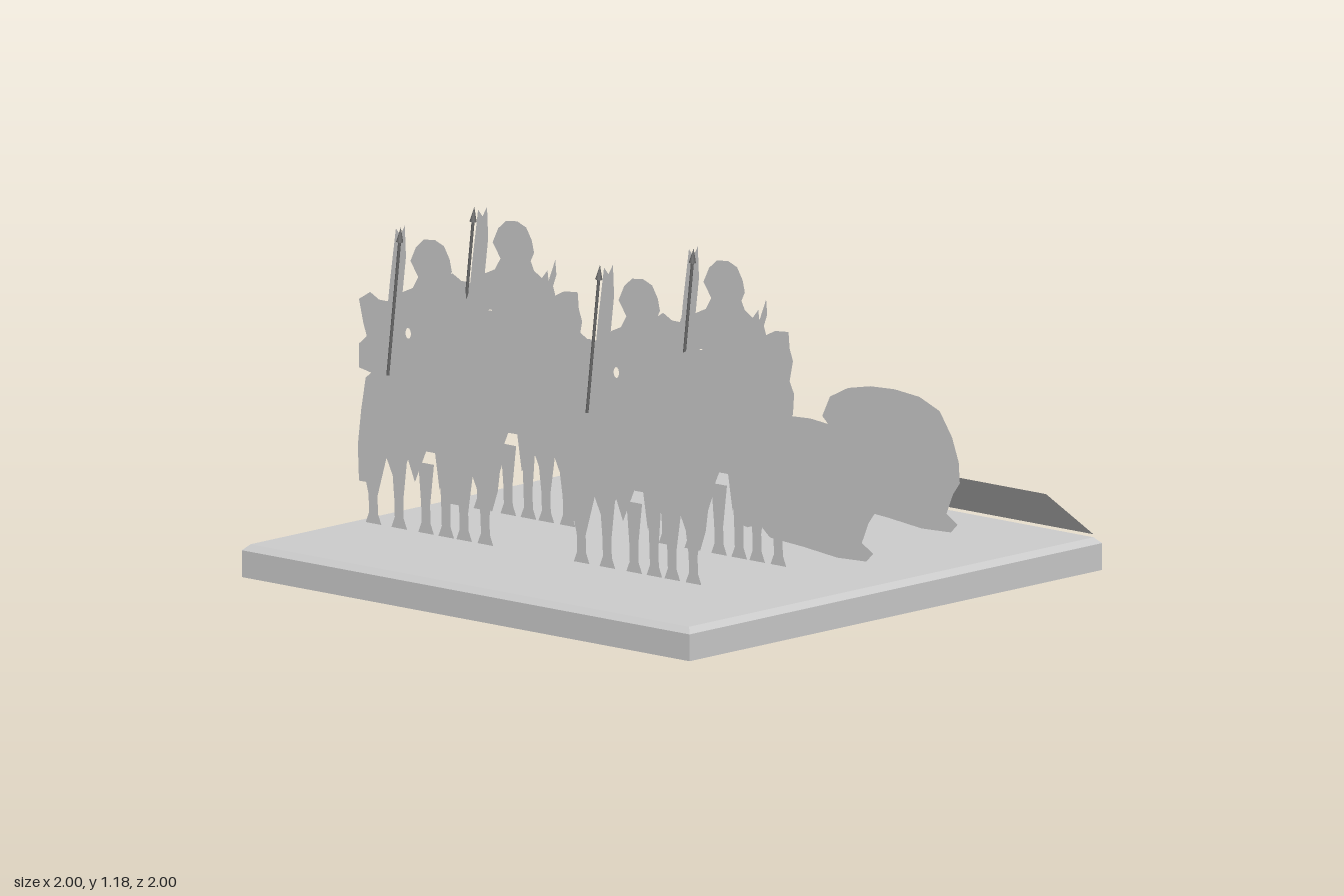
import * as THREE from 'three';

const stone = new THREE.MeshStandardMaterial({ color: 0xcccccc });
stone.name = 'light grey';
const cutout = new THREE.MeshStandardMaterial({ color: 0xcccccc, side: THREE.DoubleSide });
cutout.name = 'light grey card';
const iron = new THREE.MeshStandardMaterial({ color: 0x6b6b6b });
iron.name = 'dark grey';

const shapeOf = (pts) => new THREE.Shape(pts.map(([x, y]) => new THREE.Vector2(x, y)));

function card(name, shapes, x, y, z) {
  const mesh = new THREE.Mesh(new THREE.ShapeGeometry(shapes), cutout);
  mesh.name = name;
  mesh.position.set(x, y, z);
  return mesh;
}

// Mounted figure: cloaked body with arrows, hat and plume
const RIDER = [
  [-.33, .30], [-.335, .42], [-.32, .54], [-.30, .65], [-.275, .67], [-.33, .68], [-.33, .76], [-.295, .79],
  [-.31, .83], [-.33, .91], [-.28, .94], [-.24, .92], [-.20, .92], [-.19, 1.0], [-.165, 1.17], [-.145, 1.15],
  [-.125, 1.185], [-.12, 1.08], [-.135, .96], [-.09, .98], [-.065, 1.02], [-.10, 1.07], [-.075, 1.12], [-.04, 1.15],
  [.01, 1.155], [.05, 1.14], [.075, 1.1], [.085, 1.06], [.07, 1.03], [.085, 1.0], [.12, .98], [.145, 1.01],
  [.15, .975], [.18, 1.05], [.185, 1.0], [.17, .96], [.18, .93], [.22, .95], [.28, .955], [.285, .90],
  [.30, .86], [.285, .79], [.305, .75], [.30, .68], [.28, .66], [.295, .58], [.32, .47], [.30, .42],
  [.29, .35], [.265, .28], [.22, .30], [.17, .40], [.12, .32], [.08, .40], [.03, .32], [.01, .44],
  [-.03, .44], [-.08, .33], [-.11, .40], [-.17, .32], [-.21, .40], [-.25, .30],
];
// Legs below the body: [hoof centre, top width]
const LEGS = [[-.265, .12], [-.15, .07], [-.03, .07], [.06, .06], [.14, .08], [.235, .09]];

function riderShapes() {
  const body = shapeOf(RIDER);
  const hole = new THREE.Path();
  hole.absellipse(-.11, .825, .012, .018, 0, Math.PI * 2, true);
  body.holes.push(hole);
  const legs = LEGS.map(([x, w]) => shapeOf([
    [x - w / 2, .40], [x - .022, .26], [x - .02, .20], [x - .035, .165],
    [x + .035, .165], [x + .02, .20], [x + .018, .26], [x + w / 2, .40],
  ]));
  return [body, ...legs];
}

// Slumped animal with a domed back
const HUMP = [
  [.30, .14], [.45, .13], [.60, .115], [.73, .12], [.76, .15], [.71, .18], [.74, .25], [.77, .29],
  [.765, .36], [.735, .44], [.68, .52], [.59, .555], [.48, .565], [.37, .56], [.27, .54], [.19, .50],
  [.155, .43], [.20, .39], [.24, .36], [.20, .30], [.165, .24], [.15, .17], [.20, .16], [.25, .18],
];

// Fallen shape lying on the ground, as x and z
const FALLEN = [
  [-.64, -.70], [-.72, -.70], [-.76, -.63], [-.83, -.55], [-.83, -.42], [-.93, -.41], [-.95, -.35], [-.93, -.25],
  [-.87, -.23], [-.87, -.18], [-.92, -.16], [-.96, -.08], [-.95, .05], [-.90, .06], [-.86, .03], [-.81, .05],
  [-.72, .06], [-.66, .10], [-.50, .09], [-.35, .10], [-.20, .07], [0, .09], [.03, .07], [-.10, .05],
  [-.15, .04], [-.15, -.02], [-.06, -.04], [0, -.10], [.06, -.15], [.07, -.20], [.01, -.27], [.06, -.33],
  [.06, -.38], [.02, -.41], [-.10, -.40], [-.13, -.45], [-.23, -.50], [-.24, -.57], [-.32, -.70], [-.47, -.70],
  [-.45, -.66], [-.36, -.66], [-.31, -.60], [-.33, -.55], [-.45, -.53], [-.60, -.53], [-.73, -.51], [-.68, -.62],
];
const SCRAPS = [
  [[-.78, .22], [-.70, .16], [-.63, .15], [-.61, .22]],
  [[-.48, .22], [-.45, .175], [-.42, .18], [-.39, .22]],
  [[-.60, .135], [-.43, .08], [-.44, .11]],
];

function spear(x, z) {
  const group = new THREE.Group();
  group.name = 'spear';
  const shaft = new THREE.Mesh(new THREE.CylinderGeometry(.005, .005, .46, 8), iron);
  shaft.name = 'spearShaft';
  shaft.position.y = .23;
  const tip = new THREE.Mesh(new THREE.ConeGeometry(.012, .05, 8), iron);
  tip.name = 'spearTip';
  tip.position.y = .483;
  group.add(shaft, tip);
  group.position.set(x, .675, z);
  group.rotation.z = -.115;
  return group;
}

export function createModel() {
  const model = new THREE.Group();
  model.name = 'diorama';

  // Square base with a chamfered upper rim
  const slab = new THREE.Mesh(new THREE.BoxGeometry(2, .09, 2), stone);
  slab.name = 'baseSlab';
  slab.position.y = .045;
  const rimGeo = new THREE.CylinderGeometry(.98 * Math.SQRT2, Math.SQRT2, .02, 4).toNonIndexed();
  rimGeo.rotateY(Math.PI / 4);
  rimGeo.computeVertexNormals();
  const rim = new THREE.Mesh(rimGeo, stone);
  rim.name = 'baseRim';
  rim.position.y = .10;
  model.add(slab, rim);

  // Sloping panel along the back edge
  const panel = new THREE.Mesh(new THREE.PlaneGeometry(1.96, Math.hypot(.23, .17)), cutout);
  panel.name = 'backPanel';
  panel.position.set(0, .205, -.865);
  panel.rotation.x = Math.atan2(.23, .17);
  model.add(panel);

  // Two rows of mounted figures with spears
  const riders = riderShapes();
  for (const side of [-1, 1]) {
    const x = side * .465;
    model.add(card('frontRider', riders, x, 0, .655));
    model.add(card('rearRider', riders, x + side * .006, 0, .25));
    const spearX = side < 0 ? -.655 : .235;
    model.add(spear(spearX, .667), spear(spearX + side * .045, .262));
  }

  // Slumped animals behind the left column
  model.add(card('slumpedAnimal', shapeOf(HUMP), 0, 0, -.15));
  model.add(card('rearSlumpedAnimal', shapeOf(HUMP), 0, .035, -.56));

  // Fallen shape flat on the base
  const flat = [FALLEN, ...SCRAPS].map((pts) => shapeOf(pts.map(([x, z]) => [x, -z])));
  const fallen = card('fallenShape', flat, 0, .116, 0);
  fallen.rotation.x = -Math.PI / 2;
  model.add(fallen);

  return model;
}
